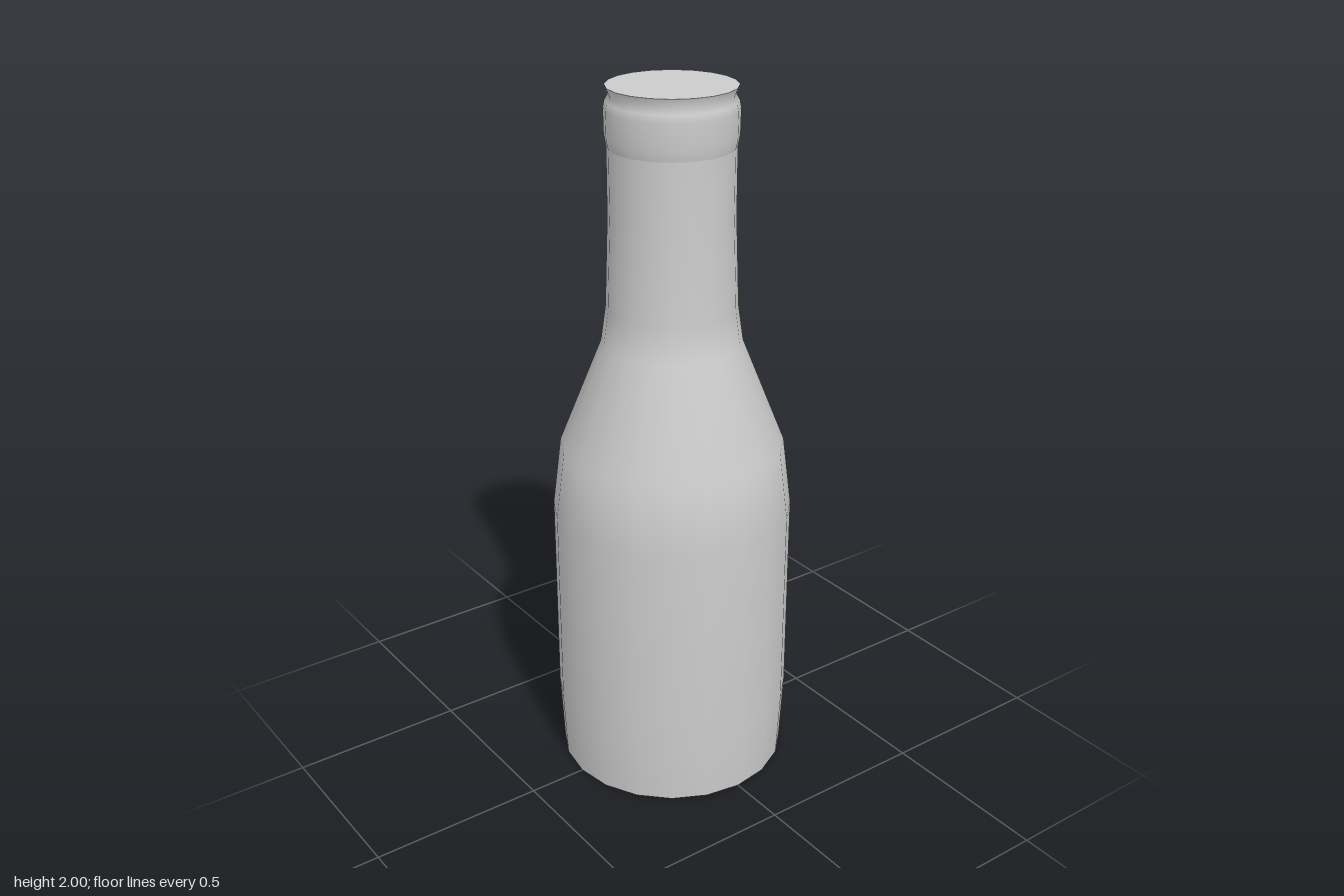
import * as THREE from 'three';

const SIDES = 20;

export function createModel() {
  const group = new THREE.Group();
  group.name = 'bottle';
  const material = new THREE.MeshStandardMaterial({ color: 0xcccccc });

  const add = (name, geometry) => {
    const mesh = new THREE.Mesh(geometry, material);
    mesh.name = name;
    group.add(mesh);
    return mesh;
  };
  const lathe = (profile) =>
    new THREE.LatheGeometry(profile.map(([r, y]) => new THREE.Vector2(r, y)), SIDES);

  // Body, sloping shoulder and neck
  add('bodyAndNeck', lathe([
    [0.33, 0], [0.34, 0.2], [0.34, 0.8], [0.315, 1.0],
    [0.195, 1.3], [0.181, 1.4], [0.172, 1.65], [0.172, 1.84],
  ]));

  // Rounded ring around the mouth, with a groove and flared rim above it
  add('lip', lathe([
    [0.172, 1.84], [0.178, 1.87], [0.179, 1.94], [0.175, 1.96], [0.166, 1.975], [0.175, 2.0],
  ]));

  // Flat closures at both ends
  const base = add('base', new THREE.CircleGeometry(0.33, SIDES));
  base.rotation.x = Math.PI / 2;
  const top = add('top', new THREE.CircleGeometry(0.175, SIDES));
  top.rotation.x = -Math.PI / 2;
  top.position.y = 2;

  return group;
}
